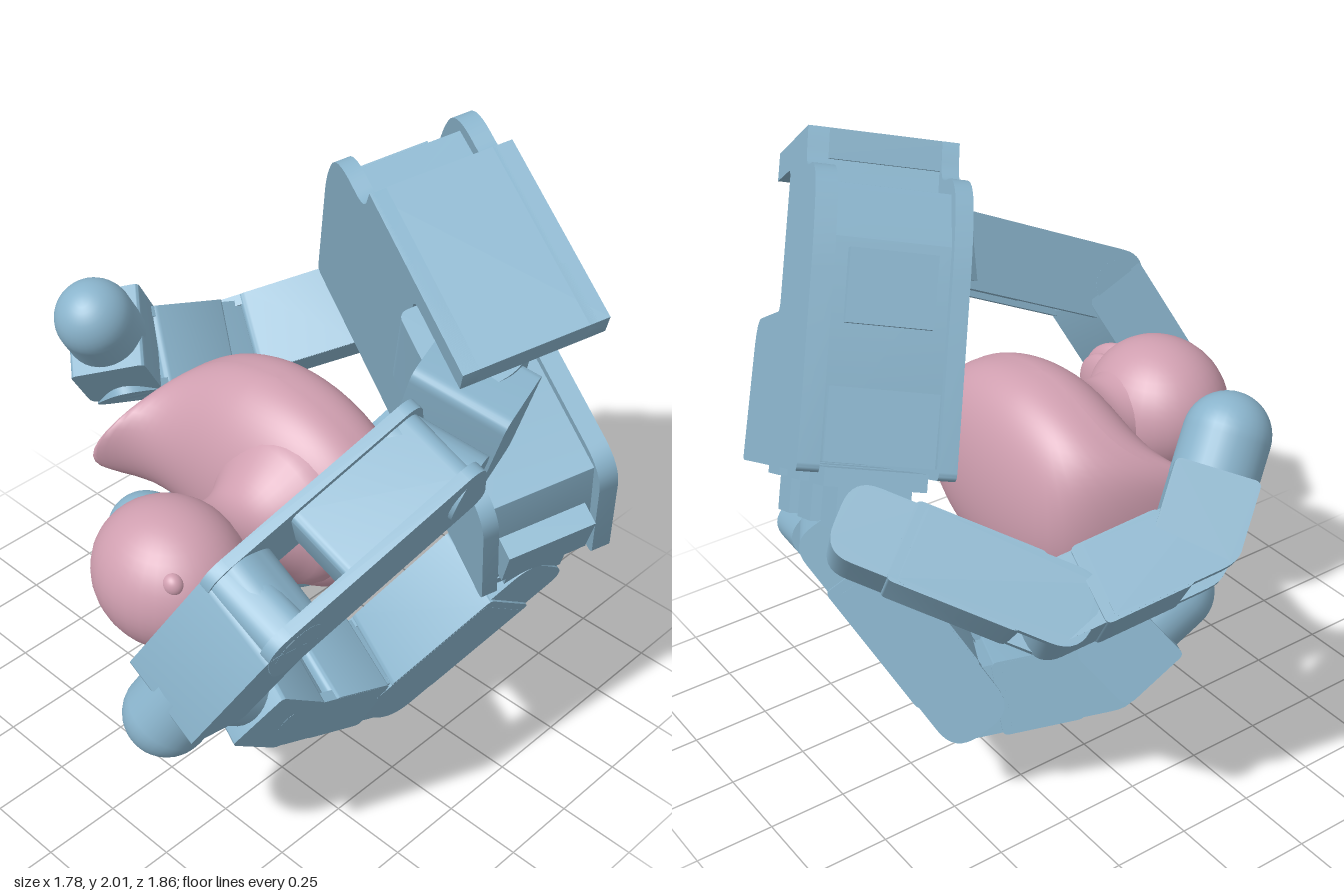
import * as THREE from 'three';
import { toCreasedNormals } from 'three/addons/utils/BufferGeometryUtils.js';

const V = (x, y, z) => new THREE.Vector3(x, y, z);
const blue = new THREE.MeshStandardMaterial({ color: 0x8ab4cc });
const pink = new THREE.MeshStandardMaterial({ color: 0xd09fb0 });

function add(parent, name, geo, mat = blue) {
  const m = new THREE.Mesh(geo, mat);
  m.name = name;
  parent.add(m);
  return m;
}

// Polygon with rounded corners; each point is [x, y, radius]
function roundedShape(pts) {
  const s = new THREE.Shape(), n = pts.length;
  pts.forEach(([x, y, r = 0.001], i) => {
    const c = new THREE.Vector2(x, y);
    const toward = (q) => new THREE.Vector2(q[0], q[1]).sub(c).setLength(r).add(c);
    const a = toward(pts[(i + n - 1) % n]), b = toward(pts[(i + 1) % n]);
    if (i) s.lineTo(a.x, a.y); else s.moveTo(a.x, a.y);
    s.quadraticCurveTo(x, y, b.x, b.y);
  });
  s.closePath();
  return s;
}

function slab(shape, z0, z1) {
  const g = new THREE.ExtrudeGeometry(shape, { depth: z1 - z0, bevelEnabled: false, curveSegments: 8 });
  return toCreasedNormals(g.translate(0, 0, z0), 0.6);
}

// Block running along y with rounded ends, its width across x
function linkBlock(y0, y1, width, height, r0, r1) {
  const h = height / 2;
  const g = slab(roundedShape([[-h, y0, r0], [h, y0, r0], [h, y1, r1], [-h, y1, r1]]), -width / 2, width / 2);
  return g.rotateY(Math.PI / 2);
}

// Group at a, with y toward b and x close to the hinge axis
function frame(parent, name, a, b, axis) {
  const g = new THREE.Group(), y = b.clone().sub(a).normalize();
  const x = axis.clone().addScaledVector(y, -axis.dot(y)).normalize();
  g.name = name;
  g.quaternion.setFromRotationMatrix(new THREE.Matrix4().makeBasis(x, y, x.clone().cross(y)));
  g.position.copy(a);
  parent.add(g);
  return g;
}

function hinge(g, y, width, r) {
  add(g, 'hingePin', new THREE.CylinderGeometry(r, r, width, 24).rotateZ(Math.PI / 2)).position.y = y;
}

function solidLink(parent, name, a, b, axis) {
  const g = frame(parent, name, a, b, axis), L = a.distanceTo(b);
  add(g, 'body', linkBlock(0.09, L - 0.07, 0.27, 0.23, 0.02, 0.03));
  add(g, 'lug', linkBlock(-0.09, 0.12, 0.255, 0.215, 0.08, 0.01));
  for (const s of [-1, 1])
    add(g, 'forkPlate', linkBlock(0.12, L + 0.1, 0.035, 0.22, 0.02, 0.09)).position.x = s * 0.118;
  hinge(g, L, 0.27, 0.085);
}

function frameLink(parent, name, a, b, axis) {
  const g = frame(parent, name, a, b, axis), L = a.distanceTo(b);
  for (const s of [-1, 1])
    add(g, 'sideRail', linkBlock(-0.1, L + 0.1, 0.035, 0.24, 0.06, 0.09)).position.x = s * 0.122;
  add(g, 'motor', linkBlock(-0.08, L * 0.65, 0.22, 0.2, 0.05, 0.03));
  add(g, 'kneeBlock', linkBlock(L - 0.06, L + 0.09, 0.22, 0.22, 0.06, 0.07));
  hinge(g, L, 0.28, 0.08);
}

function tipLink(parent, a, b, axis) {
  const g = frame(parent, 'distalLink', a, b, axis), L = a.distanceTo(b);
  add(g, 'body', linkBlock(-0.01, L - 0.1, 0.28, 0.24, 0.04, 0.02));
  add(g, 'lug', linkBlock(-0.1, 0.1, 0.23, 0.2, 0.09, 0.01));
  add(g, 'tipNeck', new THREE.CylinderGeometry(0.125, 0.125, 0.14, 32, 1, true)).position.y = L - 0.07;
  add(g, 'fingertip', new THREE.SphereGeometry(0.125, 32, 20)).position.y = L;
}

function buildPalm(hand) {
  // Palm frame: x across the knuckles, y toward the wrist, z out of the palm
  const palm = new THREE.Group();
  palm.name = 'palm';
  const x = V(0.835, -0.477, 0.273).normalize(), z = V(-0.44, -0.185, 0.88);
  z.addScaledVector(x, -z.dot(x)).normalize();
  palm.quaternion.setFromRotationMatrix(new THREE.Matrix4().makeBasis(x, z.clone().cross(x), z));
  palm.position.set(0.39, 2.0, -0.5);
  hand.add(palm);

  const plate = roundedShape([[0, 0], [-0.02, -0.12, 0.06], [-0.21, -0.12, 0.1], [-0.265, -0.31, 0.1],
    [-0.29, -0.95, 0.03], [0.93, -0.95, 0.03], [0.835, -0.5, 0.1], [0.3, -0.5, 0.04],
    [0.3, -0.085, 0.04], [0.587, -0.085], [0.587, 0]]);
  const core = roundedShape([[0.02, -0.02], [0, -0.16], [-0.17, -0.17], [-0.23, -0.32], [-0.26, -0.92],
    [0.89, -0.92], [0.8, -0.53], [0.26, -0.53], [0.26, -0.05]]);
  add(palm, 'backPlate', slab(plate, 0, 0.06));
  add(palm, 'frontPlate', slab(plate, 0.38, 0.43));
  add(palm, 'core', slab(core, 0.05, 0.39));
  const box = (name, w, h, d, px, py, pz) =>
    add(palm, name, new THREE.BoxGeometry(w, h, d)).position.set(px, py, pz);
  box('wristBlock', 0.587, 0.085, 0.43, 0.2935, -0.0425, 0.215);

  // Housings on both edges, then the knuckle brackets
  box('edgeHousing', 0.1, 0.2, 0.24, -0.22, -0.45, 0.22);
  box('edgeHousing', 0.1, 0.2, 0.3, -0.23, -0.82, 0.22);
  box('edgeHousing', 0.1, 0.2, 0.28, 0.86, -0.8, 0.22);
  for (let i = 0; i < 3; i++) {
    const u = -0.12 + i * 0.44;
    box('knuckleBracket', 0.26, 0.05, 0.28, u, -0.96, 0.22);
    box('knuckleBlock', 0.25, 0.14, 0.2, u, -1.03, 0.22);
  }
  // Thumb motor in the notch, rounded toward the back of the hand
  const motor = roundedShape([[0.3, 0.08], [0.43, 0.08, 0.08], [0.6, 0.25, 0.08], [0.6, 0.48, 0.03], [0.31, 0.48, 0.03]]);
  add(palm, 'thumbMotor', slab(motor, 0.11, 0.48).rotateX(Math.PI / 2));
}

function buildDuck(root) {
  const duck = new THREE.Group();
  duck.name = 'duck';
  duck.position.set(0, 0.905, 0);
  root.add(duck);

  // Egg body, flat underneath, with the tail swept up
  const body = new THREE.SphereGeometry(1, 56, 40), p = body.attributes.position;
  for (let i = 0; i < p.count; i++) {
    const a = p.getX(i), b = p.getY(i), c = p.getZ(i);
    const t = Math.max(0, -a - 0.1) / 0.9;
    const z = (c < 0 ? -0.235 * Math.pow(-c, 0.7) : 0.23 * c) + 0.34 * Math.pow(t, 6 - 2.5 * c);
    p.setXYZ(i, -0.02 + a * 0.47 + 0.01 * Math.pow(t, 10), b * 0.345 * (1 - 0.06 * t), z);
  }
  body.computeVertexNormals();
  add(duck, 'duckBody', body, pink);

  // Neck and head
  const profile = [[0.27, 0.06], [0.245, 0.15], [0.195, 0.21], [0.155, 0.27], [0.138, 0.33], [0.15, 0.4], [0.19, 0.46]];
  const curve = new THREE.SplineCurve(profile.map(([r, h]) => new THREE.Vector2(r, h)));
  const neck = add(duck, 'duckNeck', new THREE.LatheGeometry(curve.getPoints(20), 40).rotateX(Math.PI / 2), pink);
  neck.position.x = 0.115;
  const ball = (name, rx, ry, rz, x, y, z, tilt = 0) => {
    const m = add(duck, name, new THREE.SphereGeometry(1, 32, 24), pink);
    m.scale.set(rx, ry, rz);
    m.position.set(x, y, z);
    m.rotation.y = tilt;
  };
  ball('duckHead', 0.245, 0.222, 0.22, 0.1, 0, 0.55);
  // Bill and eyes
  ball('upperBill', 0.14, 0.13, 0.055, 0.29, 0, 0.545, 0.25);
  ball('lowerBill', 0.13, 0.11, 0.045, 0.28, 0, 0.485, 0.05);
  for (const s of [-1, 1]) ball('eye', 0.035, 0.035, 0.03, 0.24, s * 0.11, 0.665);
}

export function createModel() {
  const model = new THREE.Group();
  model.name = 'handHoldingDuck';
  const hand = new THREE.Group();
  hand.name = 'roboticHand';
  model.add(hand);
  buildPalm(hand);

  // Joint positions from knuckle to fingertip, and hinge axis
  const fingers = [
    ['outerFinger', V(0.58, -0.73, 0.37), [V(-0.26, 1.09, -0.76), V(-0.62, 0.9, -0.4), V(-0.715, 1.0, 0.01), V(-0.64, 1.26, 0.18)]],
    ['middleFinger', V(0.83, -0.32, 0.46), [V(0.14, 0.83, -0.63), V(-0.17, 0.34, -0.41), V(-0.34, 0.38, -0.03), V(-0.4, 0.58, 0.22)]],
    ['innerFinger', V(0.92, -0.32, 0.25), [V(0.52, 0.61, -0.49), V(0.25, 0.14, -0.18), V(0.19, 0.25, 0.19), V(0.17, 0.44, 0.45)]],
  ];
  for (const [name, axis, j] of fingers) {
    const f = new THREE.Group();
    f.name = name;
    hand.add(f);
    solidLink(f, 'proximalLink', j[0], j[1], axis);
    solidLink(f, 'middleLink', j[1], j[2], axis);
    tipLink(f, j[2], j[3], axis);
  }

  // Thumb
  const thumb = new THREE.Group();
  thumb.name = 'thumb';
  hand.add(thumb);
  const axis = V(0.93, -0.35, 0), root = V(0.6, 1.41, -0.12), hip = V(0.66, 1.35, 0.13), knee = V(0.57, 1.12, 0.64);
  const base = frame(thumb, 'thumbBase', root, hip, axis);
  add(base, 'body', linkBlock(-0.08, 0.14, 0.29, 0.36, 0.03, 0.04));
  hinge(base, 0.24, 0.27, 0.1);
  frameLink(thumb, 'proximalLink', hip, knee, axis);
  tipLink(thumb, knee, V(0.36, 0.71, 0.81), axis);

  buildDuck(model);
  return model;
}
